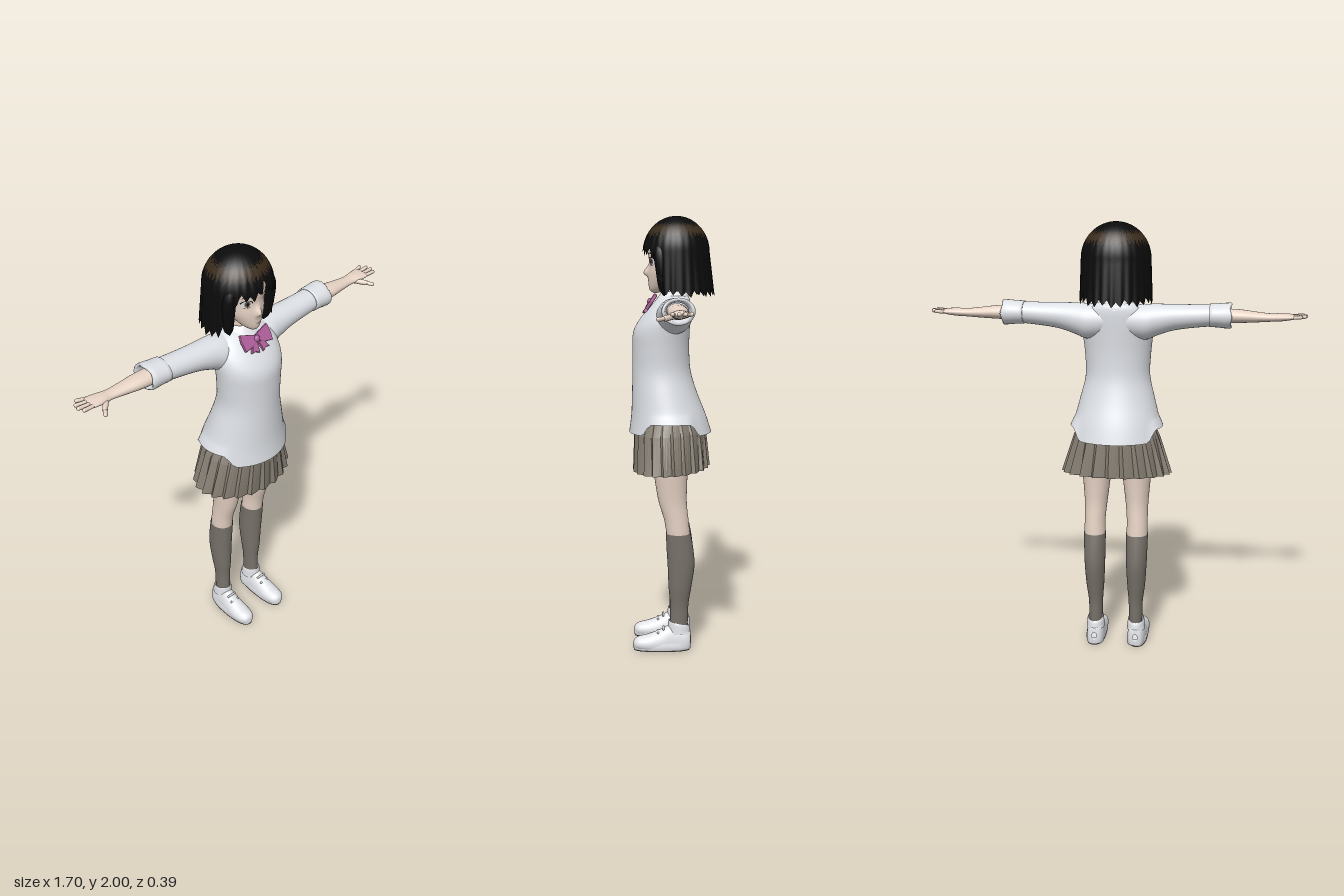
import * as THREE from 'three';
import { mergeVertices } from 'three/addons/utils/BufferGeometryUtils.js';

const paint = (name, color, side = THREE.FrontSide) => {
  const m = new THREE.MeshStandardMaterial({ color, side });
  m.name = name;
  return m;
};
const cr = (a, b, c, d, t) =>
  0.5 * (2 * b + (c - a) * t + (2 * a - 5 * b + 4 * c - d) * t * t + (3 * b - a - 3 * c + d) * t ** 3);
const tri = (u) => Math.abs((((u % 1) + 1) % 1) * 2 - 1);
const pw = (v, e) => Math.sign(v) * Math.abs(v) ** e;

// Smoothly refine a short list of cross-sections
function dense(rows, n) {
  const out = [], at = (i) => rows[Math.min(Math.max(i, 0), rows.length - 1)];
  for (let i = 0; i < rows.length - 1; i++)
    for (let k = 0; k < n; k++)
      out.push(rows[i].map((_, j) => cr(at(i - 1)[j], at(i)[j], at(i + 1)[j], at(i + 2)[j], k / n)));
  out.push(rows[rows.length - 1]);
  return out;
}

// Closed grid of points, around = columns, along = rows
function grid(seg, count, point) {
  const pos = [], idx = [];
  for (let j = 0; j < count; j++)
    for (let i = 0; i < seg; i++) {
      pos.push(...point(i, j));
      if (j === count - 1) continue;
      const a = j * seg + i, b = j * seg + (i + 1) % seg;
      idx.push(a, a + seg, b, b, a + seg, b + seg);
    }
  const g = new THREE.BufferGeometry();
  g.setAttribute('position', new THREE.Float32BufferAttribute(pos, 3));
  g.setIndex(idx);
  g.computeVertexNormals();
  return g;
}

// Loft of ellipses. y rows: [y, cx, rx, cz, rz]; x rows: [x, cz, rz, cy, ry]; z rows: [z, cy, ry, cx, rx]
function loft(rows, { axis = 'y', seg = 32, steps = 4, e = 1, warp } = {}) {
  const R = dense(rows, steps);
  return grid(seg, R.length, (i, j) => {
    const a = (i / seg) * Math.PI * 2, [p, cu, ru, cv, rv] = R[j];
    const u = cu + Math.max(ru, 0.0005) * pw(Math.cos(a), e);
    const v = cv + Math.max(rv, 0.0005) * pw(Math.sin(a), e);
    const q = axis === 'y' ? [u, p, v] : axis === 'x' ? [p, v, u] : [v, u, p];
    return warp ? warp(q, a, i) : q;
  });
}

// Rounded rod between two points
function rod(a, b, r) {
  const A = new THREE.Vector3(...a), B = new THREE.Vector3(...b), d = B.clone().sub(A);
  const g = new THREE.CapsuleGeometry(r, d.length(), 5, 10);
  g.applyQuaternion(new THREE.Quaternion().setFromUnitVectors(new THREE.Vector3(0, 1, 0), d.normalize()));
  return g.translate(...A.add(B).multiplyScalar(0.5).toArray());
}

function flip(geo) {
  const g = (geo.index ? geo.clone() : mergeVertices(geo)).scale(-1, 1, 1), ix = g.index.array;
  for (let i = 0; i < ix.length; i += 3) [ix[i + 1], ix[i + 2]] = [ix[i + 2], ix[i + 1]];
  return g;
}

export function createModel() {
  const D = THREE.DoubleSide;
  const skin = paint('skin', 0xe6d2c4), white = paint('white', 0xe4e5e9, D), sweater = paint('sweater', 0xdcdfe4, D);
  const skirt = paint('skirt', 0x857d72, D), sock = paint('sock', 0x78726a, D), bow = paint('bow', 0xae5f9b);
  const hair = paint('hair', 0x0b0b0b, D), sheen = paint('hairSheen', 0x3a2b1b, D);
  const iris = paint('iris', 0x6b5646), lip = paint('lip', 0xb98d80);
  const model = new THREE.Group();
  model.name = 'girl';
  const add = (name, geo, mat) => {
    const m = new THREE.Mesh(geo, mat);
    m.name = name;
    model.add(m);
  };
  const both = (name, geo, mat) => {
    add(name + 'Left', geo, mat);
    add(name + 'Right', flip(geo), mat);
  };

  // Sweater body with a hem raised at the sides
  add('sweaterBody', loft([
    [1.02, 0, 0.215, 0.007, 0.19], [1.1, 0, 0.198, 0.015, 0.172], [1.2, 0, 0.172, 0.033, 0.15],
    [1.3, 0, 0.149, 0.047, 0.134], [1.4, 0, 0.152, 0.05, 0.13], [1.48, 0, 0.16, 0.047, 0.129],
    [1.54, 0, 0.163, 0.03, 0.115], [1.6, 0, 0.148, 0.004, 0.09], [1.632, 0, 0.11, -0.01, 0.07],
    [1.648, 0, 0.055, -0.012, 0.05]], {
    seg: 64, warp: ([x, y, z], a) => {
      const s = THREE.MathUtils.smoothstep(Math.abs(Math.cos(a)), 0.72, 0.9);
      return [x, y < 1.12 ? y + 0.055 * s * (1.12 - y) / 0.1 : y, z];
    } }), sweater);
  both('sleeve', loft([
    [0.05, -0.01, 0.07, 1.56, 0.07], [0.13, -0.01, 0.08, 1.556, 0.08], [0.18, -0.01, 0.073, 1.566, 0.072],
    [0.25, -0.01, 0.065, 1.578, 0.06], [0.33, -0.012, 0.061, 1.585, 0.053], [0.44, -0.017, 0.058, 1.592, 0.048]],
  { axis: 'x' }), sweater);
  both('rolledCuff', loft([
    [0.425, -0.017, 0.05, 1.592, 0.042], [0.42, -0.017, 0.066, 1.592, 0.051], [0.46, -0.019, 0.067, 1.592, 0.053],
    [0.506, -0.021, 0.07, 1.592, 0.057], [0.508, -0.02, 0.055, 1.592, 0.044], [0.47, -0.018, 0.046, 1.592, 0.036]], {
    axis: 'x', steps: 2, warp: ([x, y, z], a) => [x + (x > 0.5 ? 0.008 * tri(a / Math.PI * 2) : 0), y, z] }), sweater);

  // Arms and hands
  both('forearm', loft([
    [0.45, -0.015, 0.045, 1.59, 0.034], [0.55, -0.017, 0.044, 1.59, 0.03], [0.62, -0.02, 0.036, 1.588, 0.024],
    [0.69, -0.023, 0.03, 1.587, 0.018], [0.73, -0.023, 0.036, 1.589, 0.018], [0.77, -0.025, 0.041, 1.591, 0.014],
    [0.79, -0.026, 0.038, 1.592, 0.009], [0.796, -0.026, 0.001, 1.592, 0.001]], { axis: 'x', seg: 24 }), skin);
  [[0.818, -0.066], [0.838, -0.042], [0.843, -0.017], [0.832, 0.008]].forEach(([x, z], i) =>
    both('finger' + (i + 1), rod([0.775, 1.591, -0.055 + i * 0.0195], [x, 1.595, z], 0.0085), skin));
  both('thumb', rod([0.715, 1.585, -0.008], [0.755, 1.576, 0.035], 0.012), skin);
  both('thumbTip', rod([0.755, 1.576, 0.035], [0.772, 1.573, 0.062], 0.009), skin);

  // Pleated skirt
  const pleats = loft([
    [0.85, 0, 0.245, 0.002, 0.17], [1.02, 0, 0.198, 0.008, 0.163], [1.1, 0, 0.165, 0.012, 0.135]], {
    seg: 88, steps: 1, warp: ([x, y, z], a, i) => {
      const k = 1 + ((i % 4) / 3 - 0.4) * 0.09 * (1.15 - y) / 0.3;
      return [x * k, y - 0.012 * Math.sin(a), z * k];
    } }).toNonIndexed();
  pleats.computeVertexNormals();
  add('pleatedSkirt', pleats, skirt);
  add('underwear', loft([
    [0.865, 0, 0.015, 0, 0.045], [0.9, 0, 0.1, 0, 0.09], [0.95, 0, 0.155, 0.002, 0.115],
    [1.08, 0, 0.145, 0.012, 0.115]]), white);

  // Legs, socks and shoes
  both('leg', loft([
    [0.5, 0.1, 0.042, -0.034, 0.05], [0.55, 0.1, 0.049, -0.029, 0.054], [0.62, 0.1, 0.049, -0.02, 0.056],
    [0.7, 0.097, 0.053, -0.004, 0.064], [0.78, 0.095, 0.061, 0.003, 0.072], [0.86, 0.094, 0.068, 0.006, 0.079],
    [0.98, 0.09, 0.07, 0.005, 0.085]]), skin);
  both('sock', loft([
    [0.07, 0.097, 0.03, -0.03, 0.04], [0.15, 0.096, 0.032, -0.033, 0.042], [0.22, 0.096, 0.034, -0.034, 0.043],
    [0.3, 0.098, 0.042, -0.037, 0.053], [0.4, 0.099, 0.048, -0.042, 0.062], [0.48, 0.1, 0.05, -0.037, 0.062],
    [0.557, 0.1, 0.052, -0.029, 0.057]]), sock);
  both('shoeUpper', loft([
    [-0.088, 0.045, 0.02, 0.098, 0.012], [-0.082, 0.04, 0.055, 0.098, 0.03], [-0.055, 0.03, 0.082, 0.098, 0.041],
    [0, 0.03, 0.092, 0.1, 0.043], [0.05, 0.03, 0.067, 0.102, 0.046], [0.11, 0.03, 0.043, 0.103, 0.047],
    [0.155, 0.03, 0.032, 0.103, 0.039], [0.176, 0.03, 0.018, 0.103, 0.022], [0.181, 0.03, 0.002, 0.103, 0.002]], {
    axis: 'z', warp: ([x, y, z]) => [x, Math.max(y, 0.006), z] }), white);
  both('shoeCollar', loft([
    [0.08, 0.098, 0.043, -0.034, 0.054], [0.125, 0.098, 0.04, -0.032, 0.05], [0.138, 0.098, 0.036, -0.03, 0.046]],
  { warp: ([x, y, z]) => [x, y + (y > 0.1 ? z * 0.25 : 0), z] }), white);
  both('shoeSide', loft([
    [0.003, 0.102, 0.045, 0.048, 0.131], [0.02, 0.102, 0.048, 0.048, 0.135], [0.04, 0.102, 0.045, 0.048, 0.132]],
  { e: 0.8 }), white);
  both('shoeSole', loft([[0, 0.102, 0.001, 0.048, 0.001], [0, 0.102, 0.045, 0.048, 0.131],
    [0.006, 0.102, 0.046, 0.048, 0.132]], { e: 0.8, steps: 1 }), sock);
  [0.04, 0.065].forEach((z, i) =>
    add('lace' + i, rod([0.08, 0.131 - z * 0.72, z], [0.124, 0.131 - z * 0.72, z], 0.005), white));
  [0.04, 0.065].forEach((z, i) =>
    add('laceRight' + i, rod([-0.124, 0.131 - z * 0.72, z], [-0.08, 0.131 - z * 0.72, z], 0.005), white));

  // Neck, collar and bow
  add('neck', loft([[1.58, 0, 0.05, -0.015, 0.046], [1.65, 0, 0.041, -0.012, 0.042], [1.74, 0, 0.042, -0.01, 0.045]]), skin);
  add('collar', loft([[1.612, 0, 0.092, -0.002, 0.084], [1.64, 0, 0.075, -0.008, 0.069],
    [1.663, 0, 0.055, -0.012, 0.057]]), white);
  const shape = (...p) => new THREE.Shape(p.map(([x, y]) => new THREE.Vector2(x, y)));
  const ribbon = (s, z) => new THREE.ExtrudeGeometry(s, {
    depth: 0.008, bevelEnabled: true, bevelSize: 0.003, bevelThickness: 0.004, bevelSegments: 2 })
    .translate(0, 0, z).rotateX(-0.6).translate(0, 1.612, 0.09);
  both('bowLoop', ribbon(shape([0.005, -0.012], [0.04, -0.026], [0.074, -0.032], [0.078, 0.005], [0.074, 0.037],
    [0.04, 0.026], [0.005, 0.013]), 0.002), bow);
  both('bowTail', ribbon(shape([0.002, 0], [0.012, -0.058], [0.028, -0.048], [0.046, -0.05], [0.018, 0]), 0), bow);
  add('bowKnot', new THREE.SphereGeometry(0.016, 16, 12).scale(1, 1.1, 0.8).translate(0, 1.615, 0.1), bow);

  // Head with a small nose
  const headRows = [
    [1.655, 0, 0.004, 0.075, 0.004], [1.665, 0, 0.025, 0.066, 0.031], [1.69, 0, 0.051, 0.042, 0.063],
    [1.74, 0, 0.083, 0.013, 0.094], [1.79, 0, 0.098, -0.003, 0.105], [1.84, 0, 0.104, -0.008, 0.115],
    [1.89, 0, 0.1, -0.012, 0.11], [1.94, 0, 0.07, -0.012, 0.08], [1.965, 0, 0.004, -0.012, 0.004]];
  add('head', loft(headRows, {
    seg: 80, steps: 6, warp: ([x, y, z]) => {
      const n = Math.exp(-((x / 0.013) ** 2) - ((y - 1.746) / (y > 1.746 ? 0.028 : 0.013)) ** 2);
      return [x, y, z > 0 ? z + 0.023 * n : z];
    } }), skin);

  // Painted face plates laid onto the head surface
  const fine = dense(headRows, 6);
  const faceZ = (x, y) => {
    const i = fine.findIndex((r) => r[0] >= y), A = fine[i - 1], B = fine[i];
    const r = A.map((v, j) => v + (B[j] - v) * (y - A[0]) / (B[0] - A[0]));
    return r[3] + r[4] * Math.sqrt(Math.max(0, 1 - (x / r[2]) ** 2));
  };
  const plate = (x, y, w, h, off, inner = 0.001, from = 0, sweep = Math.PI * 2) => {
    const g = new THREE.RingGeometry(inner, 1, 28, 4, from, sweep).scale(w, h, 1).translate(x, y, 0);
    const p = g.attributes.position;
    for (let i = 0; i < p.count; i++) p.setZ(i, faceZ(p.getX(i), p.getY(i)) + off);
    g.computeVertexNormals();
    return g;
  };
  both('eyeWhite', plate(0.05, 1.797, 0.022, 0.017, 0.002), white);
  both('iris', plate(0.048, 1.797, 0.011, 0.015, 0.0035), iris);
  both('pupil', plate(0.048, 1.798, 0.005, 0.008, 0.005), hair);
  both('upperLash', plate(0.05, 1.797, 0.025, 0.02, 0.0045, 0.84, 0.2, Math.PI - 0.4), hair);
  both('lowerLash', plate(0.05, 1.797, 0.023, 0.018, 0.004, 0.92, Math.PI + 0.9, 1.3), hair);
  both('eyebrow', plate(0.048, 1.81, 0.03, 0.026, 0.004, 0.9, 0.7, 1.7), hair);
  add('mouth', plate(0, 1.699, 0.014, 0.0028, 0.003), lip);

  // Bobbed hair: a shell with a fringe, jagged ends and a band of sheen
  const seg = 156, rows = 36, teeth = 26;
  const bob = grid(seg, rows, (i, j) => {
    const a = (i / seg) * Math.PI * 2, d = Math.atan2(Math.cos(a), Math.sin(a)), s = (rows - 1 - j) / (rows - 1);
    const side = THREE.MathUtils.clamp((Math.abs(d) - 0.68) / 0.55, 0, 1);
    const part = 0.04 * Math.exp(-(((d - 0.15) / 0.13) ** 2));
    const tooth = tri(i / seg * teeth);
    const end = (1.826 + part) * (1 - side) + 1.643 * side + 0.026 * tooth + 0.006 * Math.sin(i * 0.37);
    const y = 2 - (2 - end) * s ** 1.7;
    const low = Math.max(0, 1.84 - y);
    const k = (y > 1.84 ? Math.sqrt(Math.max(0, 1 - ((y - 1.84) / 0.16) ** 2)) : 1)
      * (1 + 0.035 * (0.5 - tooth) * s * s);
    const rz = 0.15 + (Math.sin(a) < 0 ? 0.11 * low : -0.05 * low);
    return [(0.156 + 0.03 * low) * k * Math.cos(a), y, -0.021 + rz * k * Math.sin(a)];
  });
  const bands = [[], []], ix = bob.index.array, py = bob.attributes.position;
  for (let f = 0; f < ix.length; f += 6) {
    const col = (f / 6) % seg, y = (py.getY(ix[f]) + py.getY(ix[f + 1])) / 2;
    const lit = y > 1.915 + 0.012 * Math.sin(col * 1.7) && y < 1.957 + 0.008 * Math.sin(col * 2.3 + 1);
    bands[lit ? 1 : 0].push(...ix.slice(f, f + 6));
  }
  bob.setIndex([...bands[0], ...bands[1]]);
  bob.addGroup(0, bands[0].length, 0);
  bob.addGroup(bands[0].length, bands[1].length, 1);
  add('bobbedHair', bob, [hair, sheen]);
  both('sideLock', loft([
    [1.645, 0.098, 0.003, 0.035, 0.003], [1.68, 0.108, 0.022, 0.04, 0.02], [1.76, 0.114, 0.03, 0.047, 0.026],
    [1.83, 0.112, 0.03, 0.05, 0.032], [1.88, 0.1, 0.025, 0.045, 0.03]], { seg: 16 }), hair);
  return model;
}
